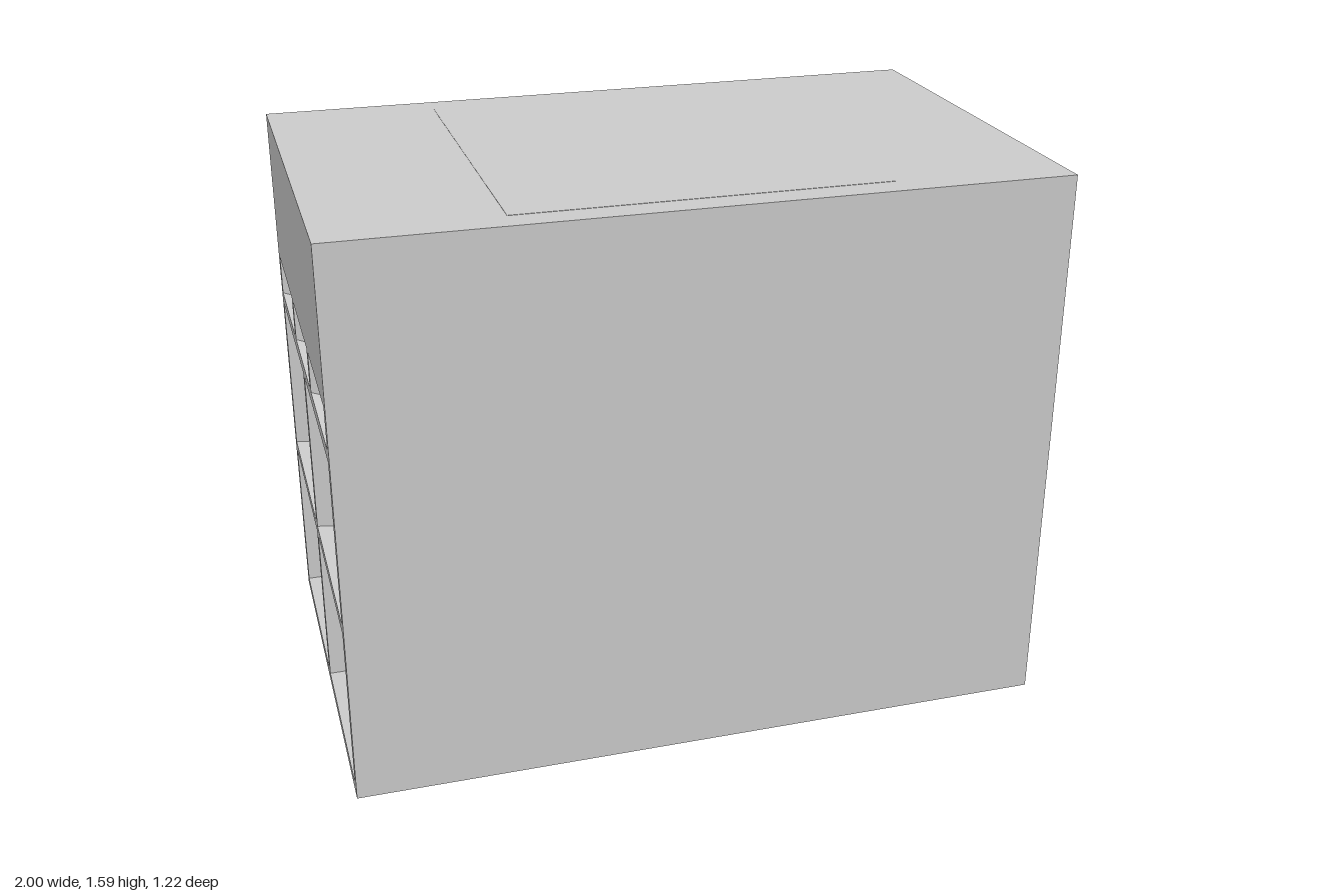
import * as THREE from 'three';

const H = 1.586;        // cabinet height
const D = 1.22;         // cabinet depth along z
const T = 0.034;        // board thickness
const FACE = -1;        // x of the open side
const BAY = 0.485;      // how far the bays reach inward
const INNER = D / 2 - T; // inner face of the outer boards

const material = new THREE.MeshStandardMaterial({ color: 0xcccccc, flatShading: true });

function add(group, name, geometry, x = 0, y = 0, z = 0) {
  const mesh = new THREE.Mesh(geometry, material);
  mesh.name = name;
  mesh.position.set(x, y, z);
  group.add(mesh);
}

// box given by its limits on each axis
function box(group, name, [x0, x1], [y0, y1], [z0, z1]) {
  add(group, name, new THREE.BoxGeometry(x1 - x0, y1 - y0, z1 - z0),
    (x0 + x1) / 2, (y0 + y1) / 2, (z0 + z1) / 2);
}

// board with a side profile (inward distance, height), running from z0 to z1
function board(group, name, profile, z0, z1) {
  const shape = new THREE.Shape(profile.map(([d, y]) => new THREE.Vector2(FACE + d, y)));
  add(group, name, new THREE.ExtrudeGeometry(shape, { depth: z1 - z0, bevelEnabled: false }), 0, 0, z0);
}

export function createModel() {
  const group = new THREE.Group();
  group.name = 'cabinet';
  const back = FACE + BAY;

  // closed main body and the solid block above the bays
  box(group, 'body', [back, 1], [0, H], [-D / 2, D / 2]);
  box(group, 'upperBlock', [FACE, back], [1.152, H], [-D / 2, D / 2]);

  // nearly flush panel in the top
  box(group, 'topPanel', [-0.515, 0.515], [H - 0.01, H + 0.001], [-0.525, 0.53]);

  // outer boards, floor and the wall between the two columns
  for (const s of [-1, 1]) {
    const z = s * (D / 2 - T / 2);
    box(group, 'sideBoard', [FACE, back], [0, 1.152], [z - T / 2, z + T / 2]);
  }
  box(group, 'bottomBoard', [FACE, back], [0, 0.03], [-INNER, INNER]);
  box(group, 'centreWall', [FACE, back], [0.03, 1.0], [-0.016, 0.016]);

  // short, slightly sloping middle shelf
  board(group, 'middleShelf', [[0, 0.5], [0.256, 0.47], [0.256, 0.5], [0, 0.53]], -INNER, INNER);

  // steeper floor of the three small slots
  board(group, 'slotFloor', [[0, 1.0], [BAY, 0.82], [BAY, 0.855], [0, 1.035]], -INNER, INNER);

  // two walls between the slots, following the floor
  for (const z of [-0.195, 0.195]) {
    board(group, 'slotDivider', [[0, 1.02], [BAY, 0.84], [BAY, 1.152], [0, 1.152]], z - 0.015, z + 0.015);
  }

  return group;
}
